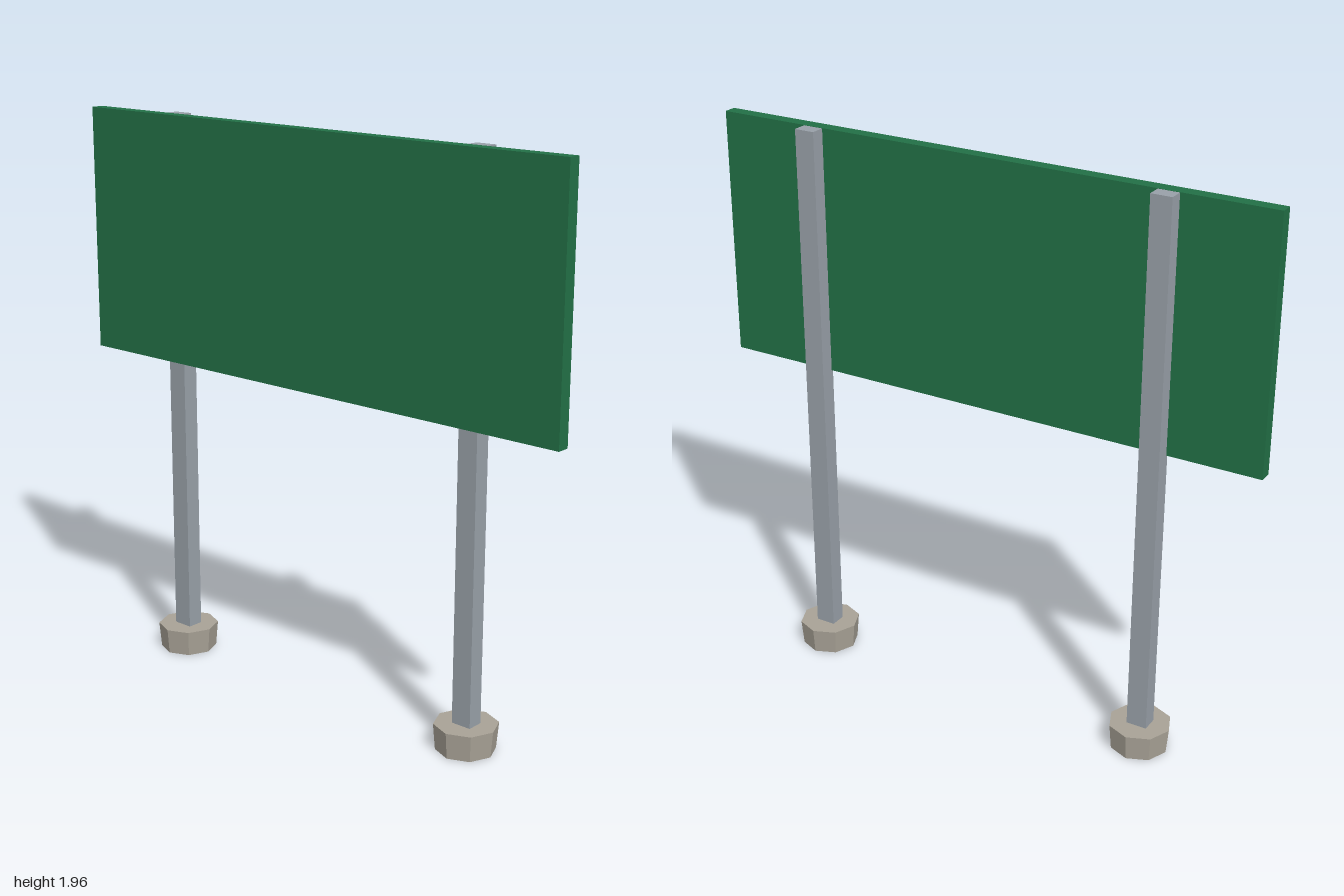
import * as THREE from 'three';

const material = (name, color) => {
  const m = new THREE.MeshStandardMaterial({ color, flatShading: true });
  m.name = name;
  return m;
};

export function createModel() {
  const group = new THREE.Group();
  group.name = 'roadSign';

  const green = material('signGreen', 0x227046);
  const steel = material('steelGrey', 0x98a0a8);
  const concrete = material('concrete', 0xa8a296);

  const add = (name, geometry, mat, x, y, z) => {
    const mesh = new THREE.Mesh(geometry, mat);
    mesh.name = name;
    mesh.position.set(x, y, z);
    group.add(mesh);
  };

  // Sign board, fixed to the front of the posts
  add('signBoard', new THREE.BoxGeometry(2, 0.86, 0.045), green, 0, 1.525, 0.044);

  // Posts, each in a tapered octagonal footing
  const postGeometry = new THREE.BoxGeometry(0.072, 1.914, 0.058);
  const footingGeometry = new THREE.CylinderGeometry(0.108, 0.1, 0.09, 8);
  for (const [side, x] of [['left', 0.64], ['right', -0.64]]) {
    add(side + 'Post', postGeometry, steel, x, 0.997, 0);
    add(side + 'Footing', footingGeometry, concrete, x, 0.045, 0);
  }

  return group;
}
